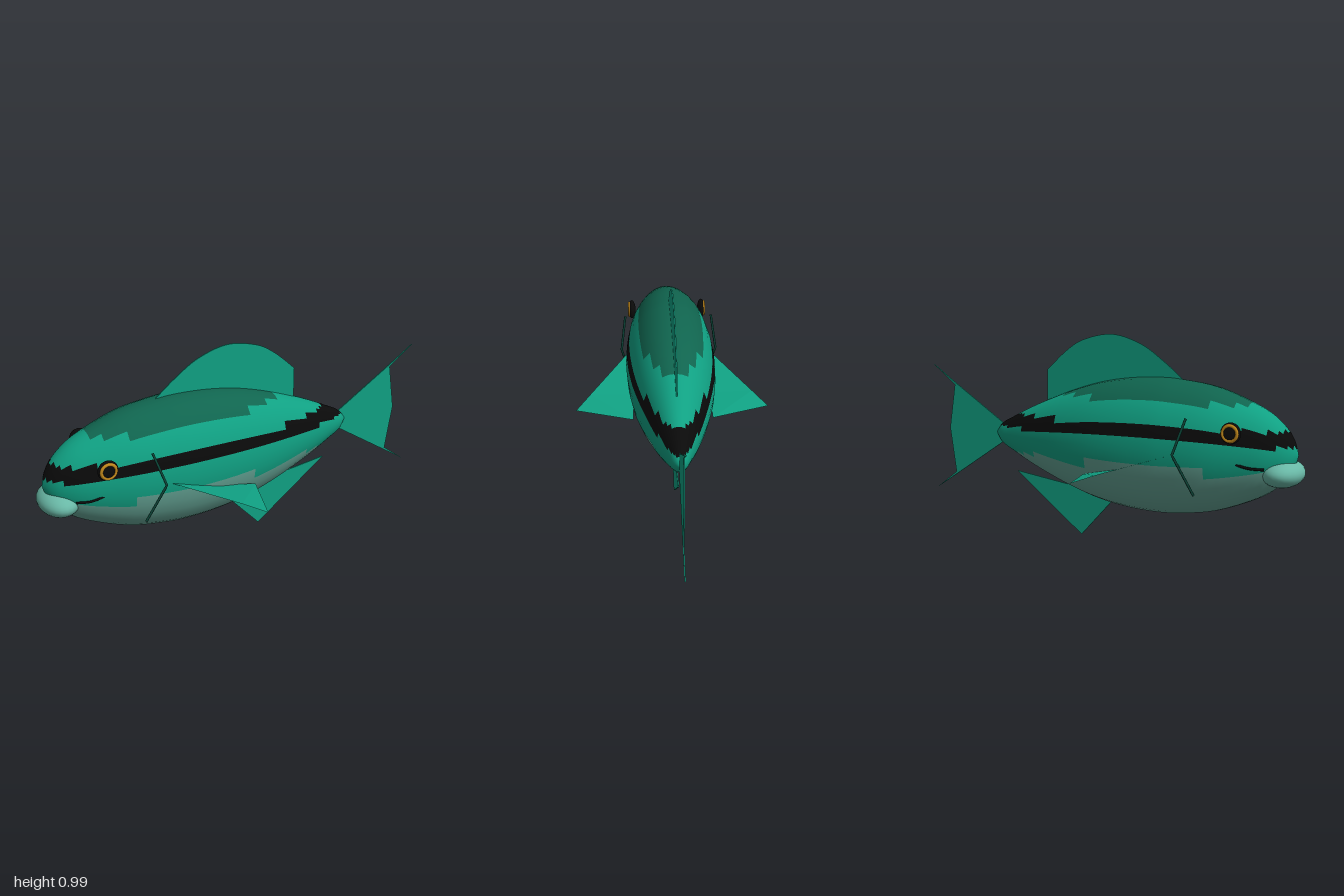
import * as THREE from 'three';

const mat = (name, color, side = THREE.FrontSide) => {
  const m = new THREE.MeshStandardMaterial({ color, side });
  m.name = name;
  return m;
};

export function createModel() {
  const model = new THREE.Group();
  model.name = 'fish';

  const green = mat('scale green', 0x10a183);
  const finGreen = mat('fin green', 0x10a183, THREE.DoubleSide);
  const backGreen = mat('dark back green', 0x10654f);
  const bellyGreen = mat('pale belly green', 0x64a394);
  const lipGreen = mat('lip green', 0x69b8a6);
  const black = mat('stripe black', 0x0a0a0a);
  const gold = mat('eye gold', 0xc48a1c);
  const gillGreen = mat('gill green', 0x0c4a3c);

  const add = (name, geometry, material, parent = model) => {
    const mesh = new THREE.Mesh(geometry, material);
    mesh.name = name;
    parent.add(mesh);
    return mesh;
  };
  const vec = (p) => new THREE.Vector3(...p);

  // Body: lathe laid along x, flattened in z, its faces banded by height
  const midY = 0.482;
  const profile = new THREE.SplineCurve([
    [0, -0.975], [0.07, -0.95], [0.135, -0.9], [0.205, -0.8], [0.283, -0.6], [0.312, -0.42],
    [0.318, -0.3], [0.309, -0.15], [0.284, 0], [0.24, 0.15], [0.183, 0.3], [0.135, 0.41],
    [0.09, 0.5], [0.052, 0.57], [0, 0.613],
  ].map(([r, x]) => new THREE.Vector2(r, x))).getPoints(56);
  profile.forEach((p) => { p.x = Math.max(p.x, 0); });
  const body = new THREE.LatheGeometry(profile, 32);
  body.rotateZ(-Math.PI / 2);
  body.scale(1, 1, 0.7);
  body.translate(0, midY, 0);

  const bandOf = (y) => {
    if (y > 0.7) return 1;
    if (y < 0.4) return 2;
    return y > 0.52 && y < 0.59 ? 3 : 0;
  };
  const bands = [[], [], [], []];
  const pos = body.attributes.position;
  const rows = profile.length;
  for (let i = 0; i < 32; i++) {
    for (let j = 0; j < rows - 1; j++) {
      const a = i * rows + j, b = a + rows, c = b + 1, d = a + 1;
      const y = (pos.getY(a) + pos.getY(b) + pos.getY(c) + pos.getY(d)) / 4;
      bands[bandOf(y)].push(a, b, d, c, d, b);
    }
  }
  body.setIndex(bands.flat());
  body.clearGroups();
  let start = 0;
  bands.forEach((band, k) => {
    body.addGroup(start, band.length, k);
    start += band.length;
  });
  add('body', body, [green, backGreen, bellyGreen, black]);

  // Lips
  const lips = add('lips', new THREE.SphereGeometry(1, 24, 16), lipGreen);
  lips.scale.set(0.095, 0.065, 0.135);
  lips.position.set(-0.905, 0.4, 0);

  // Thin upright fins on the centre plane
  const flatFin = (name, shape) => {
    const g = new THREE.ExtrudeGeometry(shape, { depth: 0.006, bevelEnabled: false, curveSegments: 20 });
    g.translate(0, 0, -0.003);
    return add(name, g, finGreen);
  };
  const polygon = (pts) => new THREE.Shape(pts.map(([x, y]) => new THREE.Vector2(x, y)));

  const dorsal = new THREE.Shape();
  dorsal.moveTo(-0.42, 0.79);
  dorsal.splineThru([
    [-0.32, 0.872], [-0.2, 0.95], [-0.05, 0.992], [0.1, 0.965], [0.2, 0.908], [0.31, 0.81],
  ].map(([x, y]) => new THREE.Vector2(x, y)));
  dorsal.lineTo(0.31, 0.63);
  dorsal.lineTo(-0.3, 0.7);
  flatFin('dorsalFin', dorsal);

  flatFin('analFin', polygon([[-0.06, 0.2], [0.12, 0.005], [0.49, 0.292], [0.2, 0.25], [0.05, 0.28]]));
  flatFin('tailFin', polygon([
    [0.55, 0.515], [0.87, 0.723], [1, 0.81], [0.87, 0.71], [0.905, 0.485],
    [0.87, 0.255], [0.99, 0.165], [0.87, 0.242], [0.55, 0.45],
  ]));

  // Parts repeated on both sides
  for (const s of [1, -1]) {
    const side = new THREE.Group();
    side.name = s > 0 ? 'leftSide' : 'rightSide';
    if (s > 0) side.name = 'nearSide'; else side.name = 'farSide';
    model.add(side);
    const at = (x, y, z) => [x, y, z * s];

    // Folded pectoral fin
    const corners = [
      at(-0.44, 0.47, 0.22), at(-0.18, 0.39, 0.405), at(-0.085, 0.356, 0.476),
      at(0, 0.348, 0.195), at(-0.18, 0.385, 0.19),
    ];
    const faces = [[0, 1, 4], [1, 2, 3], [1, 3, 4]];
    const fin = new THREE.BufferGeometry();
    fin.setAttribute('position', new THREE.Float32BufferAttribute(
      faces.flatMap((f) => (s > 0 ? f : [...f].reverse()).flatMap((k) => corners[k])), 3));
    fin.computeVertexNormals();
    // Wind the faces so that the upper side is the front
    if (fin.attributes.normal.getY(0) < 0) {
      fin.setIndex([2, 1, 0, 5, 4, 3, 8, 7, 6]);
      fin.computeVertexNormals();
    }
    add('pectoralFin', fin, finGreen, side);

    // Eye: black ball with a gold ring
    const ball = add('eyeball', new THREE.SphereGeometry(1, 24, 16), black, side);
    ball.scale.set(0.048, 0.048, 0.02);
    ball.position.set(...at(-0.727, 0.588, 0.185));
    const ring = add('eyeRing', new THREE.TorusGeometry(0.034, 0.008, 8, 28), gold, side);
    ring.position.set(...at(-0.727, 0.588, 0.197));

    // Bent gill line
    const gill = new THREE.CurvePath();
    const bend = [at(-0.53, 0.645, 0.221), at(-0.475, 0.48, 0.244), at(-0.565, 0.3, 0.206)].map(vec);
    gill.add(new THREE.LineCurve3(bend[0], bend[1]));
    gill.add(new THREE.LineCurve3(bend[1], bend[2]));
    add('gillLine', new THREE.TubeGeometry(gill, 24, 0.006, 6), gillGreen, side);

    // Mouth corner
    const mouth = new THREE.CatmullRomCurve3(
      [at(-0.86, 0.428, 0.122), at(-0.8, 0.433, 0.148), at(-0.735, 0.447, 0.155)].map(vec));
    add('mouthLine', new THREE.TubeGeometry(mouth, 12, 0.006, 6), black, side);
  }

  return model;
}
